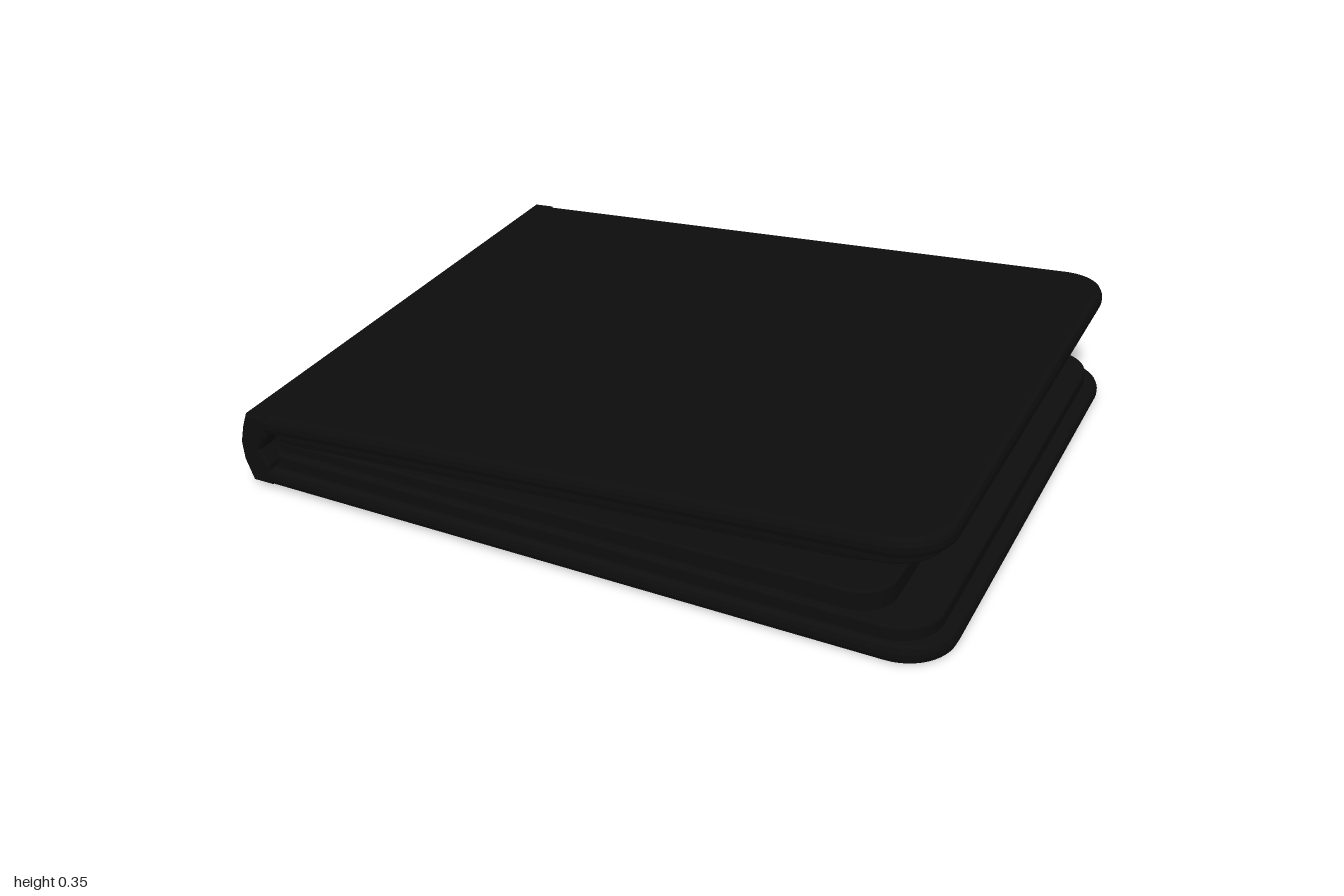
import * as THREE from 'three';

const leather = new THREE.MeshStandardMaterial({ color: 0x0d0d0d });
leather.name = 'black leather';
const cardWhite = new THREE.MeshStandardMaterial({ color: 0xe0e0e0 });
cardWhite.name = 'card white';

// Flat slab from x0 to x1 with rounded corners at the open (+x) end
function slab(name, x0, x1, halfZ, radius, y0, y1, bevel) {
  const c = 0.012;
  const s = new THREE.Shape();
  s.moveTo(x0 + c, -halfZ);
  s.lineTo(x1 - radius, -halfZ);
  s.absarc(x1 - radius, -halfZ + radius, radius, -Math.PI / 2, 0, false);
  s.lineTo(x1, halfZ - radius);
  s.absarc(x1 - radius, halfZ - radius, radius, 0, Math.PI / 2, false);
  s.lineTo(x0 + c, halfZ);
  s.lineTo(x0, halfZ - c);
  s.lineTo(x0, -halfZ + c);
  s.closePath();
  const g = new THREE.ExtrudeGeometry(s, {
    depth: y1 - y0 - 2 * bevel, curveSegments: 6,
    bevelEnabled: true, bevelThickness: bevel, bevelSize: bevel, bevelOffset: -bevel, bevelSegments: 2,
  });
  g.rotateX(-Math.PI / 2);
  g.translate(0, y0 + bevel, 0);
  const m = new THREE.Mesh(g, leather);
  m.name = name;
  return m;
}

function hinged(name, x, y, angle, ...parts) {
  const g = new THREE.Group();
  g.name = name;
  g.position.set(x, y, 0);
  g.rotation.z = angle;
  g.add(...parts);
  return g;
}

export function createModel() {
  const wallet = new THREE.Group();
  wallet.name = 'foldedWallet';

  // Lower half: outer cover, lining and thick card pocket
  wallet.add(hinged('lowerHalf', -0.97, 0.016, -0.0077,
    slab('lowerCover', 0, 1.97, 0.79, 0.14, 0, 0.05, 0.018),
    slab('lowerLining', 0.06, 1.93, 0.765, 0.12, 0.03, 0.087, 0.006)));
  wallet.add(hinged('lowerPocketBlock', -0.91, 0.04, 0.0087,
    slab('lowerPocket', 0, 1.75, 0.74, 0.1, 0, 0.09, 0.006)));

  // Upper half, tilted open
  wallet.add(hinged('upperHalf', -0.97, 0.225, 0.0667,
    slab('upperCover', 0, 1.955, 0.79, 0.14, -0.053, 0, 0.018),
    slab('upperLining', 0.06, 1.92, 0.765, 0.12, -0.083, -0.03, 0.006),
    slab('upperPocket', 0.06, 1.81, 0.74, 0.1, -0.108, -0.06, 0.006)));

  // Curved spine joining the halves
  const profile = [[-0.91, 0.016], [-0.91, 0.08], [-0.935, 0.122], [-0.91, 0.165], [-0.91, 0.229],
    [-0.972, 0.225], [-0.988, 0.18], [-1, 0.13], [-0.996, 0.08], [-0.972, 0.016]];
  const b = 0.008;
  const spineGeo = new THREE.ExtrudeGeometry(
    new THREE.Shape(profile.map(([x, y]) => new THREE.Vector2(x, y))),
    { depth: 1.58 - 2 * b, bevelEnabled: true, bevelThickness: b, bevelSize: b, bevelOffset: -b, bevelSegments: 1 });
  spineGeo.translate(0, 0, -0.79 + b);
  const spine = new THREE.Mesh(spineGeo, leather);
  spine.name = 'spine';
  wallet.add(spine);

  // Card edges showing at the mouth of the lower pocket
  for (const [z0, z1, y] of [[-0.43, -0.2, 0.133], [-0.55, -0.39, 0.109]]) {
    const card = new THREE.Mesh(new THREE.BoxGeometry(0.03, 0.012, z1 - z0), cardWhite);
    card.name = 'cardEdge';
    card.position.set(0.83, y, (z0 + z1) / 2);
    wallet.add(card);
  }

  // Rest on the ground and centre
  const box = new THREE.Box3().setFromObject(wallet);
  wallet.position.set(-(box.min.x + box.max.x) / 2, -box.min.y, 0);
  return wallet;
}
